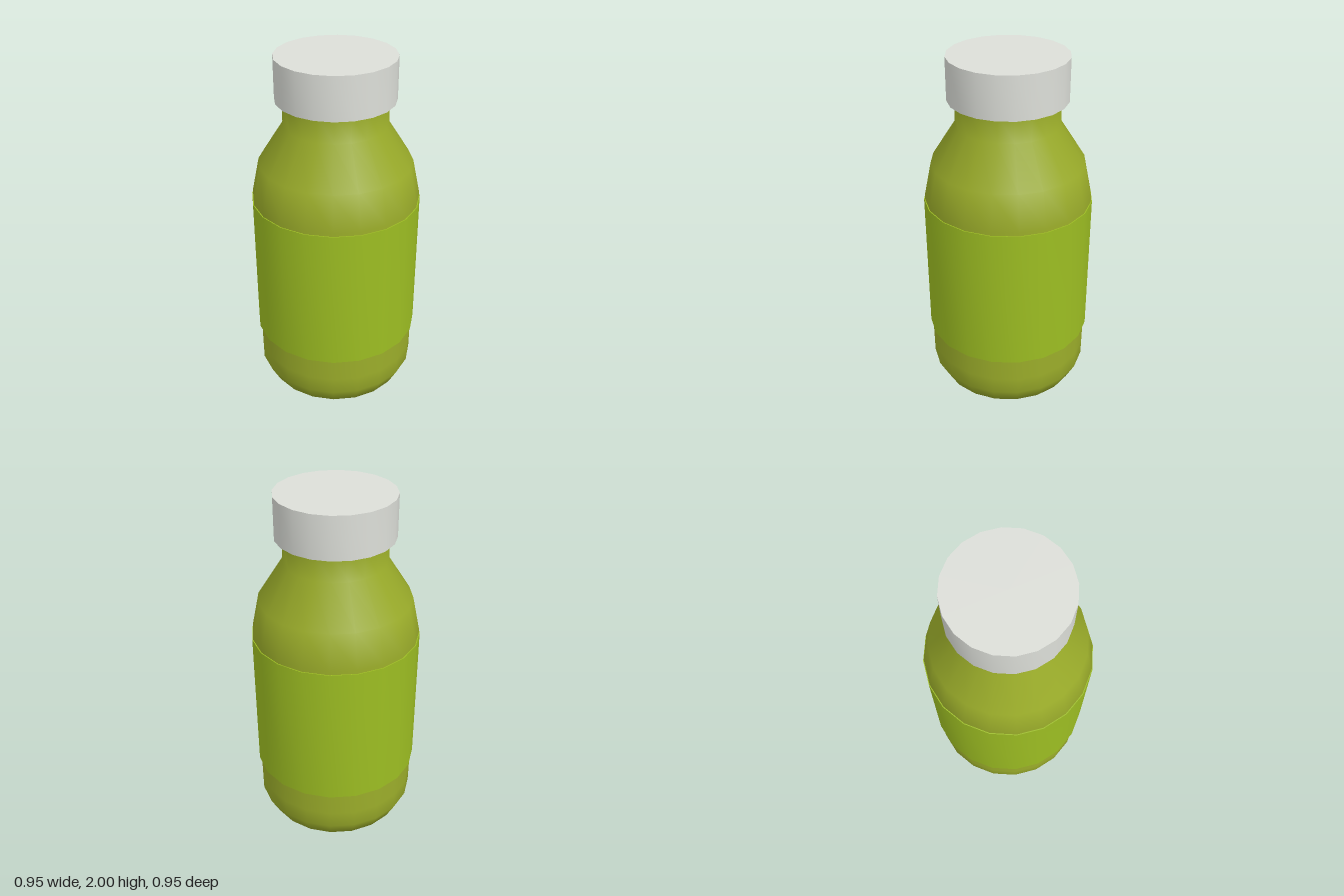
import * as THREE from 'three';
import { toCreasedNormals } from 'three/addons/utils/BufferGeometryUtils.js';

const SIDES = 20;

// Turn a profile of [radius, height] pairs, listed from bottom to top
function turned(name, profile, color, creased) {
  const points = profile.map(([r, y]) => new THREE.Vector2(r, y));
  let geometry = new THREE.LatheGeometry(points, SIDES);
  if (creased) geometry = toCreasedNormals(geometry, 0.6);
  const material = new THREE.MeshStandardMaterial({ color, side: THREE.DoubleSide });
  const mesh = new THREE.Mesh(geometry, material);
  mesh.name = name;
  return mesh;
}

export function createModel() {
  const bottle = new THREE.Group();
  bottle.name = 'bottle';

  // Body: chamfered foot, slightly flaring wall, sloped shoulder, straight neck
  bottle.add(turned('body', [
    [0, 0], [0.41, 0], [0.462, 0.1], [0.463, 0.2], [0.472, 1.2],
    [0.43, 1.4], [0.29, 1.62], [0.288, 1.77],
  ], 0x9bad2a, false));

  // Label: thin sleeve around the wall, with a lip at each end
  bottle.add(turned('label', [
    [0.463, 0.34], [0.477, 0.34], [0.477, 1.18], [0.471, 1.18],
  ], 0x9cbd22, true));

  // Cap: wider than the neck, flat on top
  bottle.add(turned('cap', [
    [0, 1.76], [0.33, 1.76], [0.33, 2], [0, 2],
  ], 0xdcded8, true));

  return bottle;
}
